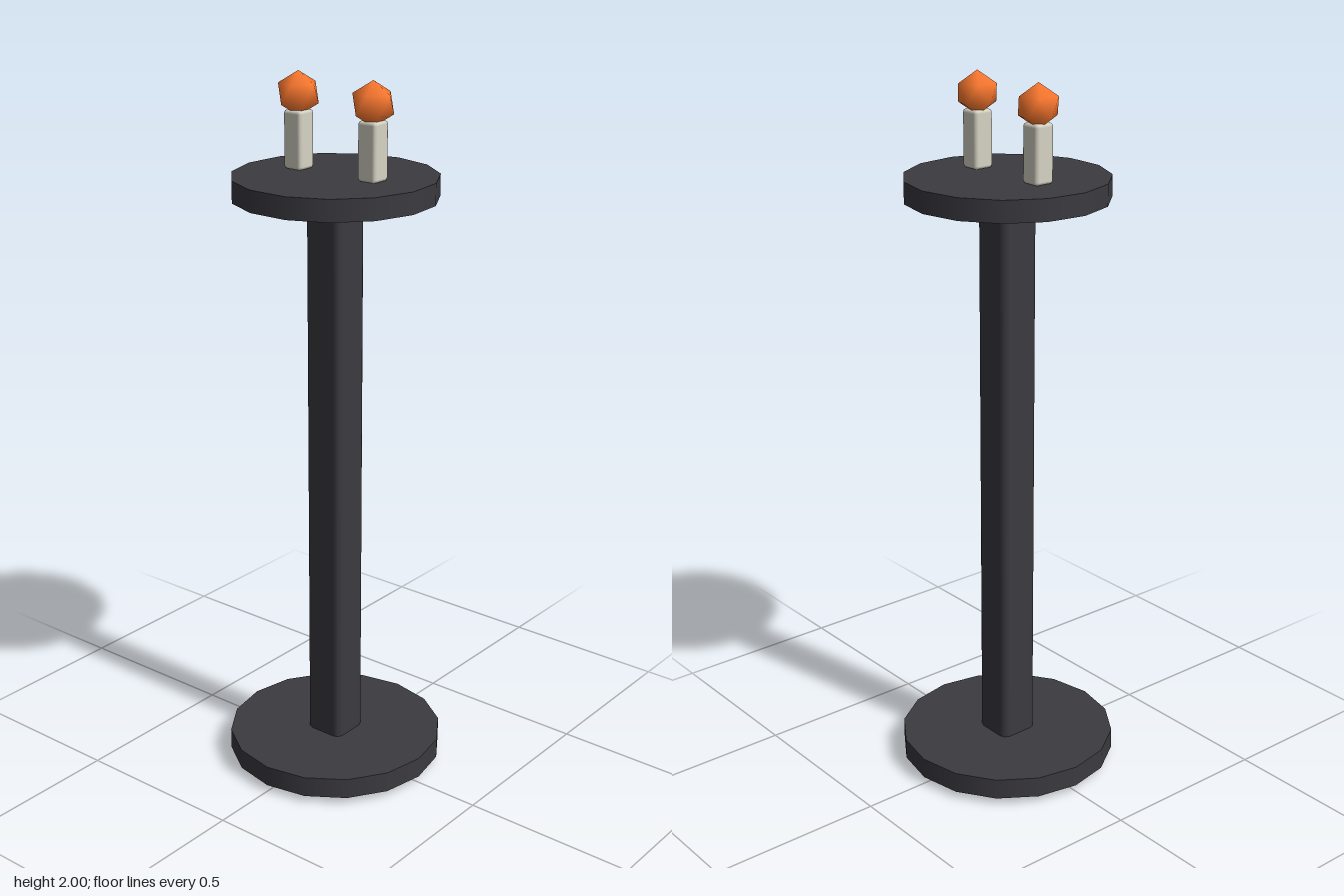
import * as THREE from 'three';
import { RoundedBoxGeometry } from 'three/addons/geometries/RoundedBoxGeometry.js';

const iron = new THREE.MeshStandardMaterial({ color: 0x3a3a40 });
const wax = new THREE.MeshStandardMaterial({ color: 0xd6d3c4 });
const fire = new THREE.MeshStandardMaterial({ color: 0xff7a30 });

function part(name, geometry, material, x, y) {
  const mesh = new THREE.Mesh(geometry, material);
  mesh.name = name;
  mesh.position.set(x, y, 0);
  return mesh;
}

// Upright bar with softened edges, standing on y = 0
function bar(width, height, radius) {
  return new RoundedBoxGeometry(width, height, width, 1, radius).translate(0, height / 2, 0);
}

// Smooth-shaded icosahedron standing on one of its points
function flameGeometry(radius) {
  const g = new THREE.IcosahedronGeometry(radius, 0);
  g.rotateZ(-Math.atan(2 / (1 + Math.sqrt(5))));
  const p = g.attributes.position;
  const v = new THREE.Vector3();
  for (let i = 0; i < p.count; i++) {
    v.fromBufferAttribute(p, i).normalize();
    g.attributes.normal.setXYZ(i, v.x, v.y, v.z);
  }
  return g;
}

export function createModel() {
  const model = new THREE.Group();
  model.name = 'candleStand';

  // Stand: foot disc, square post and round tray
  model.add(part('base', new THREE.CylinderGeometry(0.31, 0.31, 0.06, 16), iron, 0, 0.05));
  model.add(part('post', bar(0.118, 1.72, 0.02), iron, 0, 0));
  const tray = new THREE.CylinderGeometry(0.28, 0.28, 0.06, 15).rotateY(Math.PI);
  model.add(part('tray', tray, iron, 0, 1.708));

  // Pair of candles with flames
  for (const [side, x] of [['left', 0.125], ['right', -0.125]]) {
    const candle = new THREE.Group();
    candle.name = side + 'Candle';
    candle.add(part('candleStick', bar(0.06, 0.16, 0.01), wax, x, 1.738));
    candle.add(part('flame', flameGeometry(0.06), fire, x, 1.94));
    model.add(candle);
  }
  return model;
}
